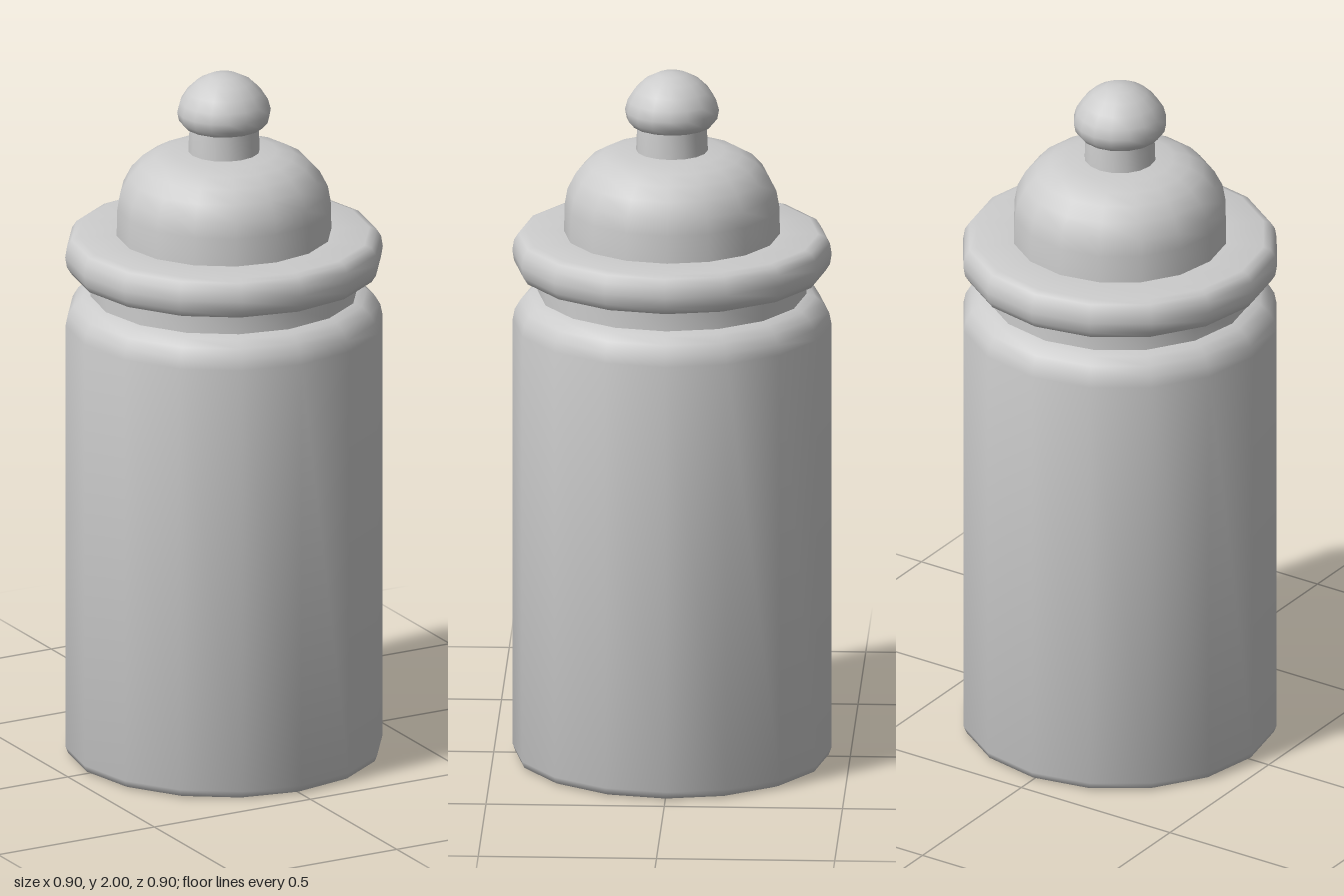
import * as THREE from 'three';
import { toCreasedNormals } from 'three/addons/utils/BufferGeometryUtils.js';

const SIDES = 16;

export function createModel() {
  const group = new THREE.Group();
  group.name = 'lidded jar';
  const material = new THREE.MeshStandardMaterial({ color: 0xcccccc });

  // Revolve a [radius, height] profile, listed from bottom to top
  function turned(name, profile) {
    const points = profile.map(([r, y]) => new THREE.Vector2(r, y));
    const geometry = toCreasedNormals(new THREE.LatheGeometry(points, SIDES), 0.9);
    const mesh = new THREE.Mesh(geometry, material);
    mesh.name = name;
    group.add(mesh);
  }

  // Tall body with a rounded shoulder and a narrow neck
  turned('body', [
    [0, 0], [0.425, 0], [0.44, 0.006], [0.447, 0.025],
    [0.447, 1.27], [0.441, 1.3], [0.425, 1.327], [0.402, 1.347], [0.375, 1.355],
  ]);
  turned('neck', [[0.377, 1.35], [0.377, 1.42]]);

  // Lid rim with a rounded outer edge
  turned('lidRim', [
    [0, 1.415], [0.41, 1.415], [0.43, 1.422], [0.443, 1.442], [0.448, 1.472],
    [0.443, 1.503], [0.43, 1.523], [0.41, 1.53], [0.29, 1.53],
  ]);

  // Domed lid
  turned('lidDome', [
    [0.303, 1.53], [0.301, 1.61], [0.293, 1.655], [0.27, 1.7], [0.238, 1.735],
    [0.198, 1.758], [0.15, 1.77], [0.08, 1.773],
  ]);

  // Knob on a short stem
  turned('knobStem', [[0.101, 1.765], [0.099, 1.815], [0.096, 1.85]]);
  turned('knob', [
    [0.09, 1.84], [0.112, 1.847], [0.127, 1.864], [0.132, 1.89], [0.124, 1.919],
    [0.105, 1.949], [0.077, 1.976], [0.042, 1.994], [0, 2],
  ]);

  return group;
}
